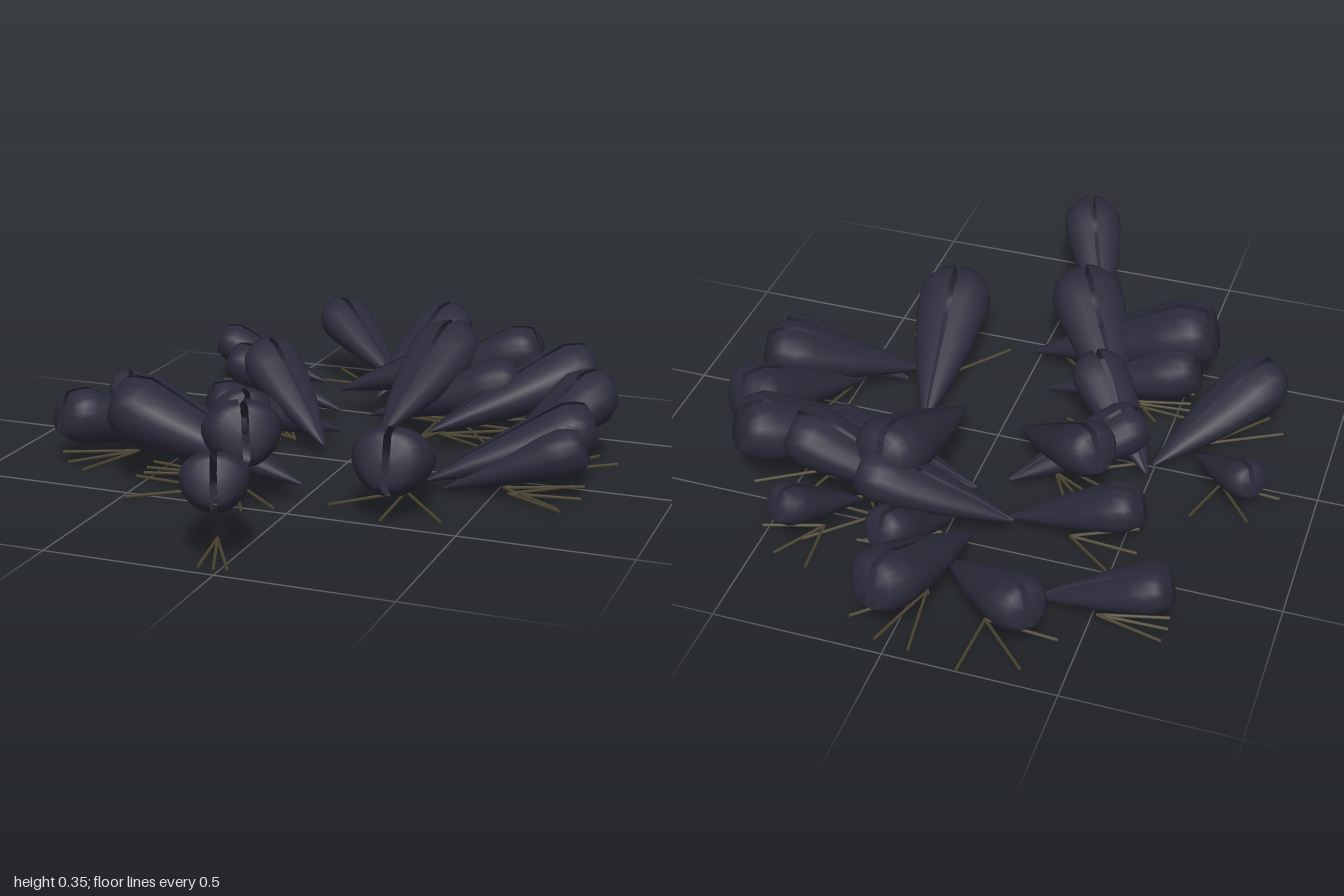
import * as THREE from 'three';
import { ParametricGeometry } from 'three/addons/geometries/ParametricGeometry.js';

// Each shell: tip x, tip z, tip height, end x, end z, height of the end's upper edge
const SHELLS = [
  [-0.17, 0.58, 0.10, 0.00, 0.99, 0.32],
  [0.23, -0.03, 0.03, 0.30, 0.52, 0.28],
  [-0.50, -0.02, 0.03, -0.79, 0.36, 0.25],
  [-0.61, 0.08, 0.02, -0.83, -0.15, 0.19],
  [-0.17, -0.39, 0.04, -0.56, -0.39, 0.24],
  [-0.34, -0.69, 0.04, -0.72, -0.67, 0.22],
  [-0.08, -0.67, 0.08, -0.40, -0.94, 0.29],
  [-0.09, -0.52, 0.06, 0.03, -0.99, 0.30],
  [0.00, -0.44, 0.03, 0.10, -0.75, 0.26],
  [0.28, -0.44, 0.03, 0.42, -0.72, 0.24],
  [-0.20, -0.46, 0.09, 0.25, -0.53, 0.30],
  [0.00, -0.47, 0.12, 0.47, -0.49, 0.36],
  [-0.04, -0.32, 0.06, 0.44, -0.37, 0.28],
  [0.10, -0.02, 0.10, 0.18, -0.54, 0.36],
  [0.21, -0.16, 0.08, 0.64, -0.49, 0.33],
  [0.48, 0.09, 0.05, 0.71, -0.33, 0.30],
  [0.32, 0.20, 0.05, 0.75, -0.04, 0.27],
  [0.36, 0.17, 0.02, 0.76, 0.09, 0.23],
  [-0.08, 0.00, 0.05, -0.40, -0.28, 0.31],
  [-0.11, -0.22, 0.03, -0.46, 0.02, 0.22],
  [-0.50, -0.10, 0.06, -0.23, 0.22, 0.26],
  [-0.09, 0.25, 0.03, -0.56, 0.30, 0.25],
  [0.00, 0.39, 0.06, -0.58, 0.40, 0.34],
  [-0.37, 0.10, 0.09, -0.09, 0.57, 0.33],
];

// Profile of one valve for unit length: position, half height, bulge
const PROFILE = [
  [0, 0.008, 0.008], [0.25, 0.07, 0.085], [0.5, 0.112, 0.145], [0.75, 0.156, 0.18],
  [0.87, 0.173, 0.182], [0.95, 0.15, 0.15], [1, 0.125, 0.1], [1.005, 0.001, 0.001],
];

function valveGeometry() {
  const n = PROFILE.length - 1;
  const g = new ParametricGeometry((u, v, p) => {
    // the surface is also sampled just outside its range for slopes
    const [z, h, w] = PROFILE[Math.round(v * n)];
    const a = (u - 0.5) * Math.PI;
    // bulge slightly fuller towards the upper edge
    p.set(w * Math.cos(a) * (1 + 0.15 * Math.sin(a)), h * Math.sin(a), z);
  }, 10, n);
  g.computeVertexNormals();
  return g;
}

export function createModel() {
  const model = new THREE.Group();
  model.name = 'musselBed';
  const shellMat = new THREE.MeshStandardMaterial({ color: 0x2b2a3a, side: THREE.DoubleSide });
  shellMat.name = 'blue black shell';
  const threadMat = new THREE.MeshStandardMaterial({ color: 0x4a4430 });
  threadMat.name = 'olive brown thread';

  const valve = valveGeometry();
  const rod = new THREE.CylinderGeometry(0.005, 0.005, 1, 5).rotateX(Math.PI / 2).translate(0, 0, 0.5);

  SHELLS.forEach(([tx, tz, ty, ex, ez, top], index) => {
    const dx = ex - tx, dz = ez - tz;
    const flat = Math.hypot(dx, dz);
    const rise = Math.max(top - ty - 0.14 * flat, 0.02);
    const length = Math.hypot(flat, rise) * 0.98;
    const yaw = Math.atan2(dx, dz);

    // Two slightly parted valves hinged at the pointed tip
    const mussel = new THREE.Group();
    mussel.name = 'mussel';
    mussel.position.set(tx, ty, tz);
    mussel.rotation.set(-Math.atan2(rise, flat), yaw, 0, 'YXZ');
    for (const side of [1, -1]) {
      const half = new THREE.Mesh(valve, shellMat);
      half.name = side > 0 ? 'leftValve' : 'rightValve';
      half.scale.set(side * length, length, length);
      half.position.x = side * 0.003;
      half.rotation.y = side * 0.014;
      mussel.add(half);
    }
    model.add(mussel);

    // Anchor threads on the ground beneath the shell, in a fan of varying spread
    const threads = new THREE.Group();
    threads.name = 'anchorThreads';
    threads.position.set(tx + dx * 0.46, 0.014, tz + dz * 0.46);
    const spread = 0.2 + (index * 0.62) % 1;
    for (const angle of [-1, -0.1, 0.7]) {
      const thread = new THREE.Mesh(rod, threadMat);
      thread.name = 'thread';
      thread.rotation.set(angle * 0.02, yaw + angle * spread, 0, 'YXZ');
      thread.scale.z = 0.08 + flat * 0.32;
      threads.add(thread);
    }
    model.add(threads);
  });
  return model;
}
